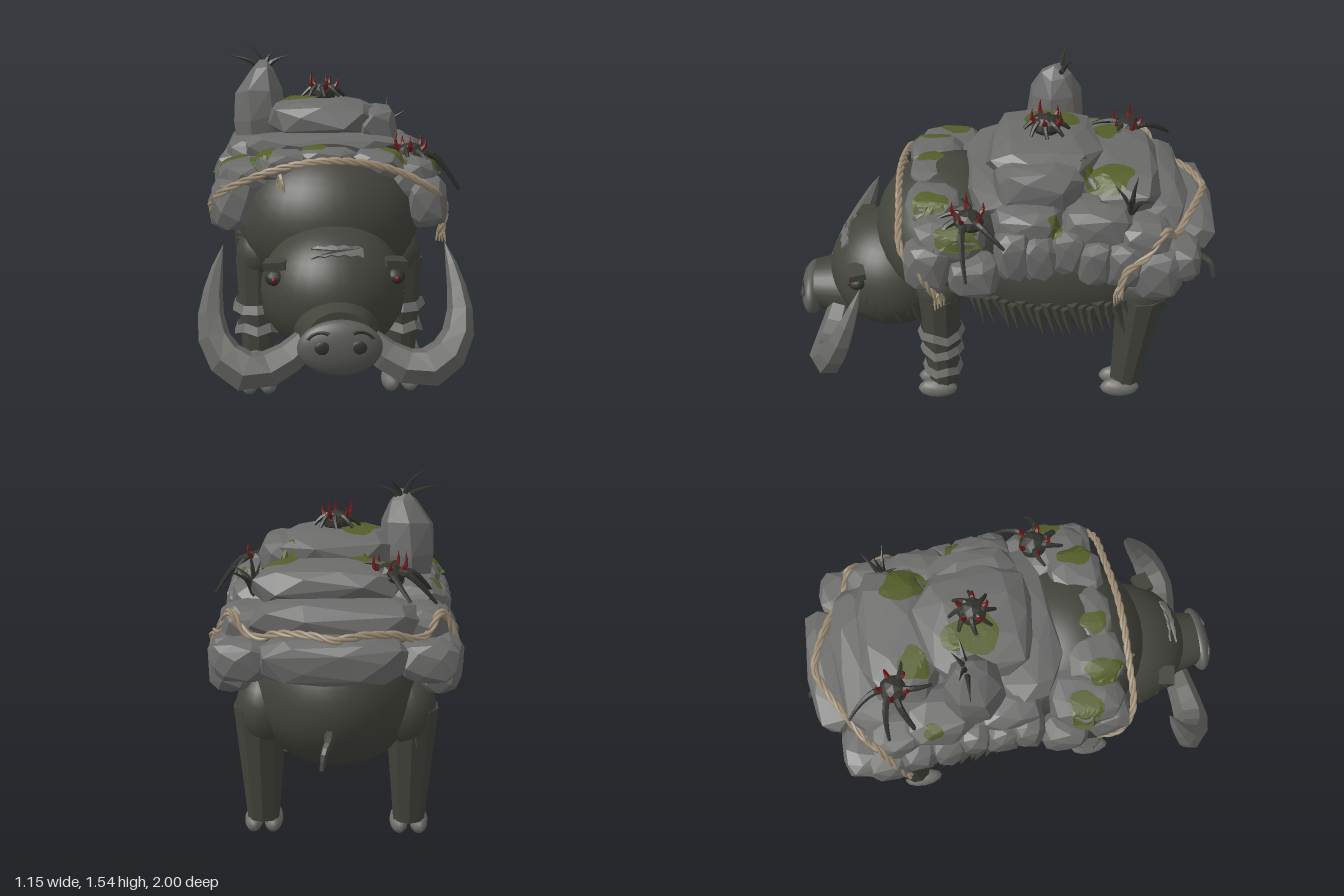
import * as THREE from 'three';
import { ConvexGeometry } from 'three/addons/geometries/ConvexGeometry.js';

const V = (x, y, z) => new THREE.Vector3(x, y, z);
const mat = (name, color, extra = {}) => Object.assign(new THREE.MeshStandardMaterial({ color, ...extra }), { name });
const MID = -0.025; // the animal's own midline

let seed = 7;
const rnd = () => (seed = (seed * 16807) % 2147483647) / 2147483647;

// Sharp facets for any geometry
function flat(geo) {
  const g = geo.index ? geo.toNonIndexed() : geo;
  g.computeVertexNormals();
  return g;
}

// Chipped boulder with half sizes sx, sy, sz
function rockGeometry(sx, sy, sz) {
  const pts = [], n = 38, turn = rnd() * 6;
  const boxy = (v, e) => Math.sign(v) * Math.pow(Math.abs(v), e);
  for (let i = 0; i < n; i++) {
    const y = 1 - (2 * (i + 0.5)) / n, r = Math.sqrt(1 - y * y), a = i * 2.39996 + turn;
    const k = 0.88 + rnd() * 0.16;
    pts.push(V(boxy(Math.cos(a) * r, 0.74) * sx * k, boxy(y, 0.6) * sy * (0.94 + rnd() * 0.07), boxy(Math.sin(a) * r, 0.74) * sz * k));
  }
  return new ConvexGeometry(pts);
}

// Tube whose radius follows a rule along its length
function taper(points, radiusAt, segs, sides) {
  const curve = new THREE.CatmullRomCurve3(points);
  const g = new THREE.TubeGeometry(curve, segs, 1, sides);
  const p = g.attributes.position, v = V();
  for (let i = 0; i < p.count; i++) {
    const t = Math.floor(i / (sides + 1)) / segs, c = curve.getPointAt(t);
    v.fromBufferAttribute(p, i).sub(c).multiplyScalar(radiusAt(t)).add(c);
    p.setXYZ(i, v.x, v.y, v.z);
  }
  return flat(g);
}

export function createModel() {
  const model = new THREE.Group(), body = new THREE.Group(), load = new THREE.Group();
  model.name = 'stoneBackedBoar';
  body.name = 'body';
  load.name = 'backLoad';
  body.position.x = MID;
  model.add(body, load);
  const hide = mat('darkHide', 0x43443c), stone = mat('stone', 0x6b6b6a), ivory = mat('greyTusk', 0x686965);
  const snoutSkin = mat('snoutSkin', 0x5a5a56), hoofGrey = mat('hoofGrey', 0x6f6f6b), cloth = mat('cloth', 0x6e6f6b, { side: THREE.DoubleSide });
  const ropeTan = mat('ropeTan', 0xa08f76), mossGreen = mat('mossGreen', 0x535e2a, { side: THREE.DoubleSide });
  const plantDark = mat('plantDark', 0x32332e), red = mat('thornRed', 0x6e1818);

  const add = (parent, name, geo, material, x = 0, y = 0, z = 0) => {
    const m = new THREE.Mesh(geo, material);
    m.name = name;
    m.position.set(x, y, z);
    parent.add(m);
    return m;
  };
  const ball = (name, m, x, y, z, rx, ry, rz, w = 32, h = 22) =>
    add(body, name, new THREE.SphereGeometry(1, w, h).scale(rx, ry, rz), m, x, y, z);

  // Body and head
  const torso = ball('torso', hide, 0, 0.68, -0.3, 0.405, 0.4, 0.61, 40, 28);
  const shoulders = ball('shoulders', hide, 0, 0.77, 0.27, 0.39, 0.33, 0.34);
  ball('head', hide, 0, 0.53, 0.545, 0.3, 0.28, 0.3);
  add(body, 'muzzle', new THREE.CylinderGeometry(0.13, 0.2, 0.28, 28).scale(1, 1, 0.85).rotateX(Math.PI / 2), hide, 0, 0.42, 0.785);
  ball('snoutDisc', snoutSkin, 0, 0.395, 0.943, 0.165, 0.11, 0.055);
  add(body, 'tail', taper([V(0.02, 0.6, -0.85), V(0.02, 0.575, -0.93), V(0.035, 0.55, -0.97), V(0.045, 0.48, -0.99)], t => 0.025 - t * 0.015, 10, 6), hide);

  // Pale scar bent over the forehead
  const jag = new THREE.Shape();
  for (let i = 0; i <= 8; i++) jag.lineTo(-0.1 + i * 0.026, 0.018 + (i % 2) * 0.008);
  for (let i = 8; i >= 0; i--) jag.lineTo(-0.1 + i * 0.026, -0.02 - ((i + 1) % 2) * 0.009);
  const scarGeo = new THREE.ExtrudeGeometry(jag, { depth: 0.009, bevelEnabled: false });
  const sp = scarGeo.attributes.position;
  for (let i = 0; i < sp.count; i++) sp.setZ(i, sp.getZ(i) - 1.3 * sp.getX(i) ** 2);
  add(body, 'foreheadScar', flat(scarGeo), cloth, 0, 0.731, 0.757).rotation.x = -0.8;

  for (const s of [-1, 1]) {
    // Nostrils, eyes and brows
    ball('nostril', plantDark, s * 0.07, 0.408, 0.991, 0.03, 0.026, 0.008, 14, 10);
    const fold = add(body, 'snoutFold', new THREE.TorusGeometry(0.055, 0.008, 6, 10, 1.8).rotateZ(Math.PI / 2 - 0.9).scale(1, 0.75, 1), plantDark, s * 0.08, 0.425, 0.99);
    fold.rotation.set(-0.35, s * 0.25, -s * 0.2);
    ball('eyeSocket', plantDark, s * 0.243, 0.612, 0.69, 0.042, 0.034, 0.04, 12, 8);
    ball('pupil', red, s * 0.248, 0.608, 0.727, 0.012, 0.012, 0.007, 8, 6);
    const brow = add(body, 'brow', new THREE.BoxGeometry(0.09, 0.034, 0.075), hide, s * 0.24, 0.668, 0.69);
    brow.rotation.set(0.1, s * 0.2, -s * 0.12);

    // Tusk sweeping outward, then up and back
    const tuskPath = [[0.12, 0.38, 0.8], [0.23, 0.3, 0.83], [0.35, 0.272, 0.845], [0.46, 0.345, 0.815], [0.497, 0.46, 0.76], [0.485, 0.6, 0.7], [0.45, 0.74, 0.645]];
    add(body, 'tusk', taper(tuskPath.map(([x, y, z]) => V(s * x, y, z)),
      t => t < 0.35 ? 0.058 + t * 0.075 : 0.084 * Math.pow((1 - t) / 0.65, 0.75) + 0.001, 9, 6), ivory);

    // Legs with split hooves
    for (const [part, z, rTop, rFoot, skew] of [['front', 0.31, 0.1, 0.067, 0], ['rear', -0.56, 0.115, 0.07, -0.045]]) {
      const geo = new THREE.CylinderGeometry(rTop, rFoot, 0.53, 10);
      const p = geo.attributes.position;
      for (let i = 0; i < p.count; i++) if (p.getY(i) > 0) p.setZ(i, p.getZ(i) + skew);
      add(body, part + 'Leg', flat(geo), hide, s * 0.312, 0.345, z);
      for (const d of [-0.042, 0.042]) ball('toe', hoofGrey, s * 0.314 + d, 0.053, z + 0.028, 0.041, 0.048, 0.094, 12, 8);
    }
    ball('hip', hide, s * 0.29, 0.6, -0.6, 0.125, 0.16, 0.135, 20, 14);
    ball('shoulderJoint', hide, s * 0.3, 0.63, 0.31, 0.105, 0.12, 0.11, 20, 14);

    // Ragged wraps round the front legs
    for (const y of [0.185, 0.305, 0.405]) {
      const r = 0.076 + (y - 0.1) * 0.07;
      const g = new THREE.CylinderGeometry(r, r + 0.014, 0.038, 10, 1, true);
      const p = g.attributes.position;
      for (let i = 0; i < p.count; i++) p.setY(i, p.getY(i) + 0.012 * Math.sin((i % 11) % 10 * 2.3 + y * 40));
      add(body, 'legWrap', flat(g), cloth, s * 0.317, y, 0.31);
    }

    // Shaggy fringe along flank and cheek
    for (let i = 0; i < 23; i++) {
      const z = 0.17 - i * 0.038, y = 0.59 - (i % 3) * 0.014 - z * 0.06, len = 0.14 + rnd() * 0.05;
      const x = 0.405 * Math.sqrt(1 - ((z + 0.3) / 0.61) ** 2 - ((y - 0.68) / 0.4) ** 2);
      const h = add(body, 'flankHair', flat(new THREE.ConeGeometry(0.03, len, 4).rotateX(Math.PI).translate(0, -len / 2, 0)), hide, s * x, y, z);
      h.rotation.set(0.1 + rnd() * 0.25, 0, s * 0.1);
    }
    for (let i = 0; i < 6; i++) {
      const h = add(body, 'cheekHair', flat(new THREE.ConeGeometry(0.023, 0.12, 4).rotateX(Math.PI)), hide, s * (0.287 - Math.abs(i - 2.5) * 0.009), 0.45 + (i % 2) * 0.03, 0.43 + i * 0.042);
      h.rotation.set(0.25, 0, s * 0.05);
    }
  }

  // Boulders heaped on the back: centre x, y, z and half sizes
  const rocks = [];
  const rock = (name, x, y, z, a, b, c) => rocks.push(add(load, name, rockGeometry(a, b, c), stone, x, y, z));
  rock('topSlab', -0.02, 1.185, -0.16, 0.27, 0.095, 0.26);
  rock('sideBoulder', 0.215, 1.125, -0.13, 0.11, 0.125, 0.21);
  rock('frontSlab', -0.05, 1.055, 0.02, 0.38, 0.08, 0.17);
  rock('rearSlab', 0.01, 1.105, -0.5, 0.32, 0.09, 0.18);
  rock('lowRearSlab', -0.02, 0.99, -0.64, 0.38, 0.09, 0.16);
  rock('rumpRock', -0.015, 0.875, -0.82, 0.32, 0.1, 0.12);
  const tall = [[0.1, -0.22, 0.11], [0.125, 0, 0.135], [0.115, 0.13, 0.12], [0.06, 0.23, 0.07], [0.02, 0.26, 0.025]];
  const tallPts = tall.flatMap(([rx, y, rz], k) => [0, 1, 2, 3, 4, 5, 6].map(i =>
    V(Math.cos(i * 0.9 + k) * rx + (y > 0.2 ? 0.02 : 0), y + rnd() * 0.03, Math.sin(i * 0.9 + k) * rz)));
  rocks.push(add(load, 'standingRock', new ConvexGeometry(tallPts), stone, -0.325, 1.16, -0.22));
  rock('napeRock', -0.04, 1.04, 0.34, 0.14, 0.06, 0.11);
  const paired = [
    [0.42, 0.86, 0.35, 0.1, 0.12, 0.11], [0.44, 0.81, 0.15, 0.095, 0.1, 0.12], [0.34, 0.955, 0.26, 0.15, 0.095, 0.17],
    [0.2, 1.02, 0.33, 0.13, 0.07, 0.13], [0.41, 0.91, -0.02, 0.1, 0.13, 0.085], [0.41, 0.9, -0.13, 0.1, 0.12, 0.085],
    [0.4, 0.92, -0.25, 0.1, 0.11, 0.085], [0.41, 0.87, -0.37, 0.1, 0.12, 0.085], [0.41, 0.86, -0.5, 0.1, 0.12, 0.1],
    [0.42, 0.81, -0.64, 0.1, 0.13, 0.12], [0.37, 0.85, -0.74, 0.13, 0.09, 0.1], [0.32, 1.02, -0.08, 0.14, 0.09, 0.16],
    [0.32, 1.0, -0.38, 0.14, 0.11, 0.17], [0.35, 0.95, -0.58, 0.12, 0.1, 0.13]];
  for (const s of [-1, 1]) for (const [x, y, z, a, b, c] of paired) rock('backRock', s * x + MID, y, z, a, b, c);

  // Moss draped over the stones
  model.updateMatrixWorld(true);
  const ray = new THREE.Raycaster(), ground = [...rocks, torso, shoulders];
  const heightAt = (x, z) => {
    ray.set(V(x, 3, z), V(0, -1, 0));
    const hit = ray.intersectObjects(ground, false)[0];
    return hit ? hit.point.y : 0.6;
  };
  const patches = [[-0.11, -0.19, 0.09, 0.125], [-0.16, -0.45, 0.075, 0.065], [0.21, -0.43, 0.08, 0.11], [-0.45, 0.24, 0.08, 0.07],
    [-0.31, 0.35, 0.055, 0.085], [-0.09, 0.35, 0.05, 0.06], [0.25, 0.34, 0.055, 0.08], [0.43, 0.22, 0.04, 0.1],
    [-0.44, -0.42, 0.03, 0.04], [0.4, -0.2, 0.03, 0.03]];
  patches.forEach(([x, z, rx, rz], k) => {
    const g = new THREE.RingGeometry(0.001, 1, 20, 4).rotateX(-Math.PI / 2), p = g.attributes.position, mid = heightAt(x, z);
    for (let i = 0; i < p.count; i++) {
      const a = Math.atan2(p.getZ(i), p.getX(i)), j = 1 + 0.12 * Math.sin(3 * a + k) + 0.07 * Math.sin(5 * a + 2 * k);
      const px = x + p.getX(i) * rx * j, pz = z + p.getZ(i) * rz * j;
      p.setXYZ(i, px, Math.max(heightAt(px, pz), mid - 0.06) + 0.007, pz);
    }
    add(load, 'mossPatch', flat(g), mossGreen);
  });

  // Three-strand twisted ropes
  function rope(name, points) {
    const curve = new THREE.CatmullRomCurve3(points.map(p => V(...p))), n = 90, f = curve.computeFrenetFrames(n);
    for (const phase of [0, 2.094, 4.189]) {
      const strand = [];
      for (let i = 0; i <= n; i++) {
        const a = phase + i * 0.6;
        strand.push(curve.getPointAt(i / n).addScaledVector(f.normals[i], Math.cos(a) * 0.009).addScaledVector(f.binormals[i], Math.sin(a) * 0.009));
      }
      add(load, name, new THREE.TubeGeometry(new THREE.CatmullRomCurve3(strand), 180, 0.0085, 5), ropeTan);
    }
  }
  rope('shoulderRope', [[-0.51, 0.78, 0.3], [-0.53, 0.86, 0.38], [-0.47, 0.93, 0.45], [-0.25, 1.02, 0.475], [-0.02, 1.055, 0.485],
    [0.22, 1.02, 0.475], [0.4, 0.93, 0.46], [0.47, 0.85, 0.38], [0.47, 0.7, 0.3]]);
  // The rump rope lies on the rocks between its hanging ends
  const rumpSpan = [];
  for (let i = 0; i <= 14; i++) {
    const u = i / 7 - 1, x = u * 0.42 + MID, z = -0.89 + 0.22 * Math.pow(Math.abs(u), 1.3);
    rumpSpan.push([x, Math.max(0.9, heightAt(x, z) + 0.014), z]);
  }
  rope('rumpRope', [[-0.535, 0.78, -0.56], [-0.5, 0.93, -0.62], ...rumpSpan, [0.45, 0.92, -0.58], [0.49, 0.88, -0.5], [0.495, 0.75, -0.47]]);
  for (const [x, y, z] of [[0.47, 0.72, 0.3], [0.495, 0.77, -0.47], [-0.24, 0.97, 0.49]])
    for (const d of [-0.018, -0.006, 0.006, 0.018])
      add(load, 'ropeEnd', taper([V(x, y + 0.03, z), V(x + d * 0.5, y, z + d), V(x + d, y - 0.05, z + d)], t => 0.009 - t * 0.005, 4, 5), ropeTan);

  // Thorny bulbs with crawling roots
  function bulb(x, y, z, r, reach, turn) {
    const g = new THREE.Group();
    g.name = 'thornBulb';
    g.position.set(x, y, z);
    load.add(g);
    add(g, 'bulb', flat(new THREE.IcosahedronGeometry(r, 1).scale(1, 0.85, 1)), plantDark);
    for (let i = 0; i < 5; i++) {
      const a = i * 1.2566 + turn, c = Math.cos(a) * r, s = Math.sin(a) * r, top = r * (1.25 + 0.2 * (i % 3));
      add(g, 'redThorn', taper([V(c * 0.7, r * 0.3, s * 0.7), V(c * 1.05, r * 0.7, s * 1.05), V(c * 1.05, top, s * 1.05)],
        t => 0.014 * (1 - t) + 0.0005, 5, 5), red);
    }
    reach.forEach(([dx, dy, dz]) => add(g, 'root', taper([V(0, 0, 0), V(dx * 0.35 - dz * 0.1, 0.03 + dy * 0.1, dz * 0.35 + dx * 0.1),
      V(dx * 0.7 - dz * 0.08, 0.02 + dy * 0.5, dz * 0.7 + dx * 0.08), V(dx, dy, dz)], t => 0.019 - t * 0.012, 9, 6), plantDark));
  }
  const ringOf = (n, l, dy) => Array.from({ length: n }, (_, i) => [Math.cos(i * 6.283 / n) * l, dy, Math.sin(i * 6.283 / n) * l]);
  bulb(-0.02, 1.295, -0.17, 0.062, ringOf(8, 0.1, -0.015), 0.2);
  bulb(0.35, 1.04, 0.17, 0.066, [[0.22, -0.16, 0.01], [0.12, -0.06, -0.15], [0.13, -0.16, 0.18], [-0.13, 0.03, 0.03], [-0.03, 0, 0.13]], 0.5);
  bulb(-0.24, 1.145, -0.55, 0.064, [[-0.08, -0.06, -0.21], [-0.19, -0.1, -0.06], [-0.2, -0.12, 0.08], [-0.02, 0.02, 0.16], [0.1, 0.04, 0.05]], 0.9);

  // Curved black thorns
  function thorns(x, y, z, tips) {
    for (const [tx, ty, tz] of tips)
      add(load, 'thorn', taper([V(x, y, z), V(x + (tx - x) * 0.35, y + (ty - y) * 0.6, z + (tz - z) * 0.4), V(tx, ty, tz)],
        t => 0.018 * (1 - t) + 0.0005, 7, 5), plantDark);
  }
  thorns(-0.3, 1.39, -0.24, [[-0.46, 1.47, -0.25], [-0.39, 1.54, -0.28], [-0.25, 1.49, -0.29], [-0.18, 1.47, -0.25]]);
  thorns(0.31, 1.06, -0.52, [[0.41, 1.18, -0.5], [0.33, 1.25, -0.54], [0.4, 1.17, -0.6], [0.29, 1.18, -0.45]]);
  return model;
}
